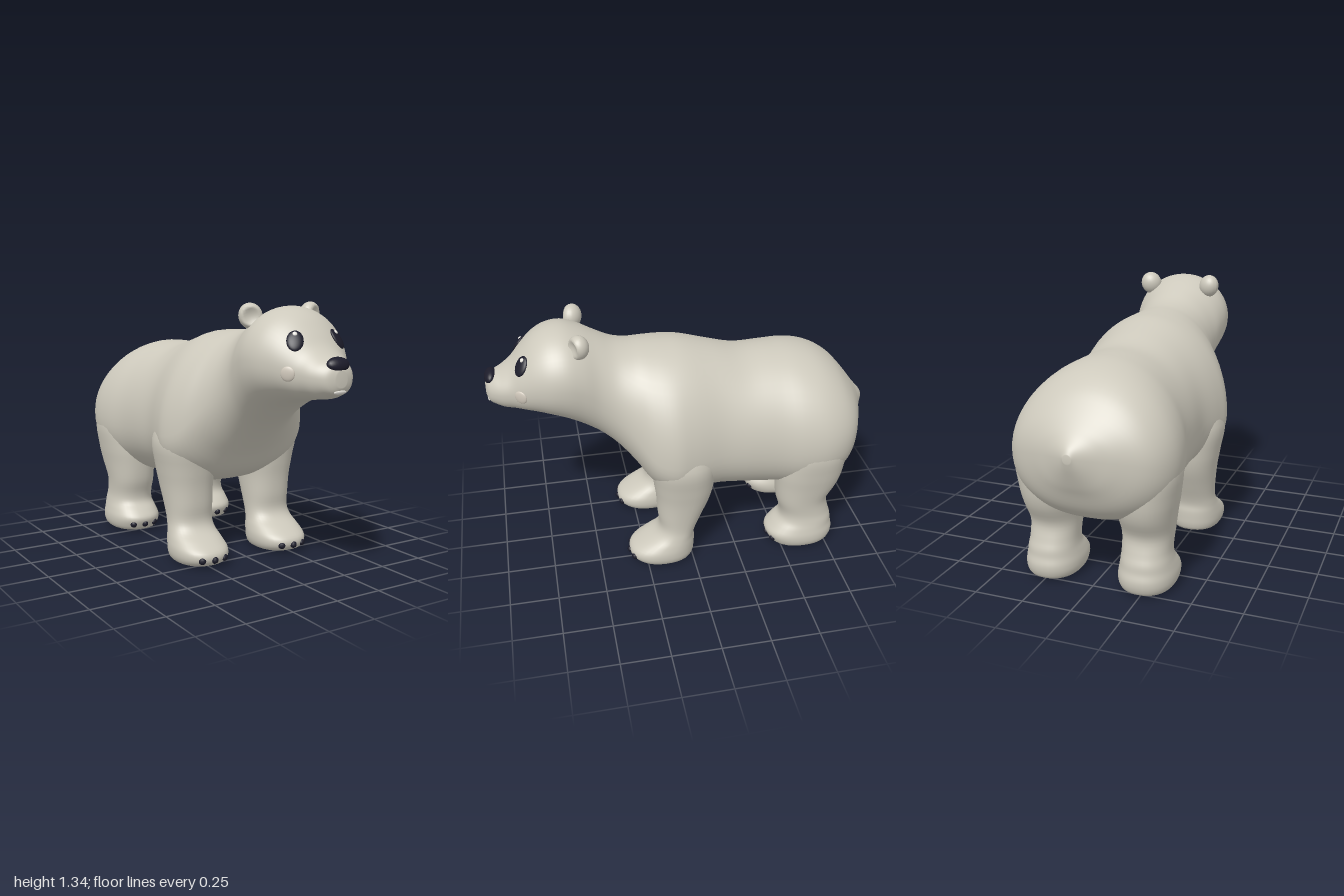
import * as THREE from 'three';

const fur = new THREE.MeshStandardMaterial({ name: 'fur', color: 0xcdc9bc });
const dark = new THREE.MeshStandardMaterial({ name: 'dark', color: 0x1c1c2a });
const cheekTone = new THREE.MeshStandardMaterial({ name: 'cheekTone', color: 0xd0c8bb });
const light = new THREE.MeshStandardMaterial({ name: 'light', color: 0xeeebe4 });

// Smoothly subdivide a table of section rows
function refine(rows, steps) {
  const out = [];
  const at = i => rows[Math.min(Math.max(i, 0), rows.length - 1)];
  for (let i = 0; i < rows.length - 1; i++) {
    for (let k = 0; k < steps; k++) {
      const t = k / steps;
      out.push(rows[i].map((b, c) => {
        const a = at(i - 1)[c], d = at(i + 1)[c], e = at(i + 2)[c];
        return b + 0.5 * t * (d - a + t * (2 * a - 5 * b + 4 * d - e + t * (3 * (b - d) + e - a)));
      }));
    }
  }
  out.push(rows[rows.length - 1]);
  return out;
}

// Skin closed rings into one smooth surface with capped ends
function loft(rows, sides, point) {
  const pos = [], index = [];
  for (const row of rows) {
    for (let j = 0; j < sides; j++) pos.push(...point(row, (j / sides) * Math.PI * 2));
  }
  const last = (rows.length - 1) * sides;
  const centre = start => {
    const c = [0, 0, 0];
    for (let j = 0; j < sides; j++) for (let k = 0; k < 3; k++) c[k] += pos[(start + j) * 3 + k] / sides;
    pos.push(...c);
    return pos.length / 3 - 1;
  };
  const first = centre(0), end = centre(last);
  for (let j = 0; j < sides; j++) {
    const n = (j + 1) % sides;
    for (let i = 0; i < last; i += sides) {
      index.push(i + j, i + n, i + sides + j, i + n, i + sides + n, i + sides + j);
    }
    index.push(first, n, j, end, last + j, last + n);
  }
  const g = new THREE.BufferGeometry();
  g.setAttribute('position', new THREE.Float32BufferAttribute(pos, 3));
  g.setIndex(index);
  g.computeVertexNormals();
  return g;
}

const bend = (v, p) => Math.sign(v) * Math.pow(Math.abs(v), p);

// Torso, neck and head: z, top, bottom, height of widest point, half width
const bodyRows = [
  [-1.0, 0.765, 0.725, 0.745, 0.02], [-0.985, 0.79, 0.68, 0.74, 0.045],
  [-0.95, 0.83, 0.6, 0.73, 0.12], [-0.92, 0.87, 0.545, 0.72, 0.205],
  [-0.87, 0.935, 0.455, 0.7, 0.315], [-0.8, 1.01, 0.39, 0.68, 0.38],
  [-0.7, 1.07, 0.355, 0.67, 0.413], [-0.58, 1.1, 0.345, 0.67, 0.408],
  [-0.45, 1.105, 0.35, 0.68, 0.378], [-0.3, 1.105, 0.362, 0.69, 0.367],
  [-0.15, 1.145, 0.377, 0.69, 0.366], [0, 1.185, 0.39, 0.68, 0.4],
  [0.1, 1.195, 0.405, 0.67, 0.415], [0.2, 1.2, 0.465, 0.7, 0.378],
  [0.28, 1.205, 0.57, 0.8, 0.31], [0.36, 1.225, 0.66, 0.91, 0.255],
  [0.44, 1.265, 0.735, 0.99, 0.238], [0.52, 1.305, 0.795, 1.06, 0.25],
  [0.6, 1.33, 0.845, 1.09, 0.26], [0.68, 1.322, 0.88, 1.09, 0.25],
  [0.75, 1.285, 0.9, 1.08, 0.22], [0.81, 1.225, 0.91, 1.06, 0.183],
  [0.86, 1.165, 0.918, 1.04, 0.148], [0.91, 1.125, 0.925, 1.03, 0.125],
  [0.95, 1.105, 0.94, 1.025, 0.1], [0.98, 1.085, 0.955, 1.02, 0.07],
  [0.995, 1.06, 0.985, 1.02, 0.03],
];
const bodyPoint = ([z, top, bottom, mid, w], a) => {
  const c = Math.cos(a), s = Math.sin(a);
  return s >= 0
    ? [w * c, mid + (top - mid) * s, z]
    : [w * bend(c, 0.85), mid + (mid - bottom) * bend(s, 0.9), z];
};

// Legs from sole to hidden top: y, x centre, z centre, x radius, z radius
const frontLegRows = [
  [0.008, 0.245, 0.15, 0.08, 0.1], [0.02, 0.245, 0.155, 0.122, 0.15],
  [0.05, 0.245, 0.163, 0.14, 0.173], [0.09, 0.245, 0.158, 0.143, 0.172],
  [0.13, 0.245, 0.128, 0.135, 0.143], [0.17, 0.245, 0.095, 0.125, 0.107],
  [0.22, 0.243, 0.074, 0.12, 0.1], [0.3, 0.243, 0.06, 0.125, 0.12],
  [0.4, 0.245, 0.043, 0.135, 0.143], [0.5, 0.247, 0.04, 0.15, 0.16],
  [0.64, 0.25, 0.045, 0.163, 0.17], [0.8, 0.22, 0.04, 0.13, 0.13],
];
const backLegRows = [
  [0.008, 0.245, -0.62, 0.08, 0.1], [0.02, 0.245, -0.62, 0.122, 0.158],
  [0.05, 0.245, -0.618, 0.14, 0.18], [0.09, 0.245, -0.615, 0.143, 0.188],
  [0.13, 0.245, -0.626, 0.135, 0.167], [0.17, 0.245, -0.643, 0.125, 0.145],
  [0.22, 0.243, -0.637, 0.12, 0.135], [0.3, 0.243, -0.62, 0.125, 0.14],
  [0.4, 0.245, -0.64, 0.138, 0.17], [0.5, 0.247, -0.65, 0.153, 0.183],
  [0.64, 0.25, -0.66, 0.16, 0.175], [0.8, 0.22, -0.65, 0.13, 0.13],
];

export function createModel() {
  const model = new THREE.Group();
  model.name = 'bear';
  const add = (name, geometry, material) => {
    const mesh = new THREE.Mesh(geometry, material);
    mesh.name = name;
    model.add(mesh);
    return mesh;
  };
  const ball = (rx, ry, rz, w = 24, h = 16) => new THREE.SphereGeometry(1, w, h).scale(rx, ry, rz);

  // Set a detail flush on a surface, found by looking back along z
  const forward = new THREE.Vector3(0, 0, 1);
  const ray = new THREE.Raycaster();
  const stick = (mesh, target, x, y, lift = 0) => {
    ray.set(new THREE.Vector3(x, y, 3), new THREE.Vector3(0, 0, -1));
    const hit = ray.intersectObject(target)[0];
    if (!hit) return mesh;
    mesh.position.copy(hit.point).addScaledVector(hit.face.normal, lift);
    mesh.quaternion.setFromUnitVectors(forward, hit.face.normal);
    return mesh;
  };

  const body = add('body', loft(refine(bodyRows, 4), 56, bodyPoint), fur);

  // Nose and mouth
  const nose = add('nose', ball(0.06, 0.036, 0.028), dark);
  nose.position.set(0, 1.085, 0.967);
  nose.rotation.x = -0.6;
  stick(add('mouth', ball(0.036, 0.01, 0.006), light), body, 0, 0.963);

  // Ear with a hollow front
  const earGeometry = ball(0.057, 0.062, 0.05);
  const p = earGeometry.attributes.position;
  for (let i = 0; i < p.count; i++) {
    const r = Math.hypot(p.getX(i), p.getY(i)) / 0.06;
    if (p.getZ(i) > 0 && r < 0.75) p.setZ(i, p.getZ(i) - 0.03 * (1 - (r / 0.75) ** 2));
  }
  earGeometry.computeVertexNormals();

  for (const s of [1, -1]) {
    const side = s > 0 ? 'left' : 'right';

    // Face
    const ear = add(side + 'Ear', earGeometry, fur);
    ear.position.set(s * 0.173, 1.284, 0.535);
    ear.rotation.set(0, s * 0.45, -s * 0.4);
    stick(add(side + 'Eye', ball(0.039, 0.052, 0.014), dark), body, s * 0.12, 1.183).rotateZ(s * 0.25);
    stick(add(side + 'EyeGlint', ball(0.011, 0.011, 0.006), light), body, s * 0.112, 1.207, 0.012);
    stick(add(side + 'Cheek', ball(0.034, 0.034, 0.01), cheekTone), body, s * 0.17, 1.04);

    // Legs with three claws each
    for (const [name, rows] of [['Front', frontLegRows], ['Back', backLegRows]]) {
      const legPoint = ([y, cx, cz, rx, rz], a) =>
        [s * cx + rx * bend(Math.cos(a), 0.88), y, cz - rz * bend(Math.sin(a), 0.88)];
      const leg = add(side + name + 'Leg', loft(refine(rows, 4), 36, legPoint), fur);
      for (const dx of [-0.066, 0, 0.066]) {
        stick(add(side + name + 'Claw', ball(0.019, 0.018, 0.014, 8, 6), dark), leg, s * 0.245 + dx, 0.055);
      }
    }
  }
  return model;
}
